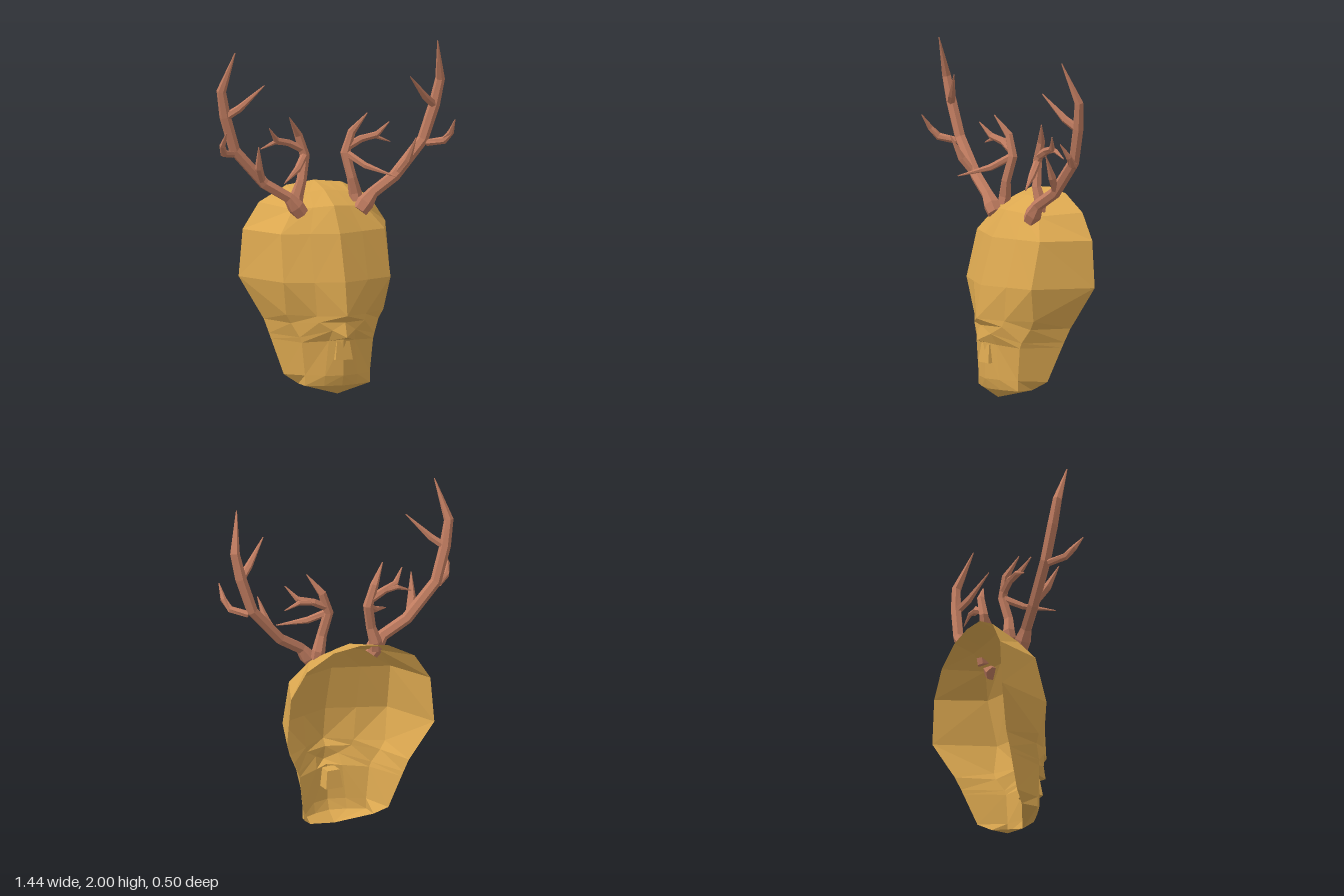
import * as THREE from 'three';

const maskMat = new THREE.MeshStandardMaterial({ color: 0xdca850, flatShading: true, side: THREE.DoubleSide });
const antlerMat = new THREE.MeshStandardMaterial({ color: 0xc07c60, flatShading: true });

// Half of the mask: each row runs from the centre line out to the open rim
const maskRows = [
  [[0, 1.19, -0.25], [0.17, 1.17, -0.25], [0.17, 1.17, -0.25]],
  [[0, 1.155, -0.1], [0.17, 1.13, -0.13], [0.17, 1.17, -0.25]],
  [[0, 1.08, 0.05], [0.22, 1.06, -0.03], [0.34, 1.08, -0.25]],
  [[0, 0.93, 0.14], [0.32, 0.93, 0.03], [0.44, 0.93, -0.25]],
  [[0, 0.66, 0.22], [0.33, 0.66, 0.095], [0.465, 0.66, -0.25]],
  [[0, 0.47, 0.25], [0.15, 0.465, 0.16], [0.3, 0.47, 0.06], [0.365, 0.46, -0.18]], // brow
  [[0, 0.43, 0.22], [0.14, 0.43, 0.17], [0.27, 0.42, 0.06], [0.345, 0.42, -0.165]],
  [[0, 0.345, 0.245], [0.07, 0.385, 0.2], [0.23, 0.34, 0.095], [0.325, 0.34, -0.135]], // nose tip
  [[0, 0.33, 0.195], [0.08, 0.32, 0.165], [0.22, 0.31, 0.1], [0.317, 0.31, -0.125]],
  [[0, 0.12, 0.19], [0.1, 0.12, 0.16], [0.2, 0.12, 0.1], [0.265, 0.11, -0.06]],
  [[0, 0.06, 0.17], [0.1, 0.06, 0.145], [0.2, 0.06, 0.1], [0.2, 0.06, 0]],
  [[0, 0.005, 0.1], [0, 0.005, 0.1], [0, 0.005, 0.1]], // chin point
];

function buildMask() {
  // Rows of three points get a midpoint so that every row has four
  const rows = maskRows.map((r) => (r.length === 4 ? r
    : [r[0], r[0].map((v, i) => (v + r[1][i]) / 2), r[1], r[2]]));
  const pos = [];
  const tri = (...corners) => {
    corners.forEach((p) => pos.push(...p));
    corners.reverse().forEach(([x, y, z]) => pos.push(-x, y, z));
  };
  for (let r = 0; r < rows.length - 1; r++) {
    for (let j = 0; j < 3; j++) {
      const a = rows[r][j], b = rows[r][j + 1], c = rows[r + 1][j], d = rows[r + 1][j + 1];
      if (r === 4) { // brow diagonals run up and outwards
        tri(a, c, b);
        tri(b, c, d);
      } else {
        tri(a, c, d);
        tri(a, d, b);
      }
    }
  }
  const geo = new THREE.BufferGeometry();
  geo.setAttribute('position', new THREE.Float32BufferAttribute(pos, 3));
  geo.computeVertexNormals();
  const mesh = new THREE.Mesh(geo, maskMat);
  mesh.name = 'maskShell';
  return mesh;
}

// Tapered faceted horn through points [x, y, z, radius]; side mirrors it in x
function horn(name, points, side, sides = 6) {
  const pts = points.map(([x, y, z]) => new THREE.Vector3(x * side, y, z));
  const n = pts.length - 1;
  const geo = new THREE.CylinderGeometry(1, 1, 1, sides, n);
  const frames = pts.map((p, i) => {
    const t = pts[Math.min(i + 1, n)].clone().sub(pts[Math.max(i - 1, 0)]).normalize();
    const u = new THREE.Vector3(0, 0, 1).cross(t).normalize();
    return { p, u, w: u.clone().cross(t) };
  });
  const attr = geo.attributes.position;
  for (let i = 0; i < attr.count; i++) {
    const k = Math.round((attr.getY(i) + 0.5) * n);
    const { p, u, w } = frames[k];
    const v = p.clone()
      .addScaledVector(u, attr.getX(i) * points[k][3])
      .addScaledVector(w, attr.getZ(i) * points[k][3]);
    attr.setXYZ(i, v.x, v.y, v.z);
  }
  geo.computeVertexNormals();
  const mesh = new THREE.Mesh(geo, antlerMat);
  mesh.name = name;
  return mesh;
}

const horns = {
  mainBeam: [[0.18, 1.035, 0.0, 0.045], [0.215, 1.08, 0.0, 0.05], [0.26, 1.135, 0.0, 0.034], [0.4, 1.22, -0.02, 0.034],
    [0.58, 1.42, -0.03, 0.033], [0.645, 1.62, -0.015, 0.033], [0.675, 1.77, 0.0, 0.028], [0.625, 2.0, 0.085, 0.003]],
  beamLowerTine: [[0.42, 1.24, -0.01, 0.022], [0.46, 1.32, 0.04, 0.024], [0.485, 1.45, 0.1, 0.003]],
  beamOuterTine: [[0.6, 1.4, -0.02, 0.02], [0.68, 1.42, 0.05, 0.022], [0.705, 1.47, 0.09, 0.018], [0.705, 1.55, 0.15, 0.003]],
  beamUpperTine: [[0.64, 1.62, -0.01, 0.024], [0.575, 1.67, 0.03, 0.022], [0.45, 1.805, 0.1, 0.003]],
  innerBeam: [[0.185, 1.08, -0.06, 0.036], [0.18, 1.13, -0.07, 0.038], [0.155, 1.22, -0.06, 0.029], [0.125, 1.36, -0.085, 0.029],
    [0.165, 1.48, -0.085, 0.024], [0.24, 1.59, -0.035, 0.003]],
  innerForkTine: [[0.13, 1.39, -0.085, 0.024], [0.22, 1.435, -0.085, 0.022], [0.31, 1.46, -0.06, 0.018], [0.37, 1.535, -0.02, 0.003]],
  innerOuterTine: [[0.22, 1.435, -0.085, 0.018], [0.31, 1.445, -0.085, 0.014], [0.4, 1.41, -0.08, 0.003]],
  innerFrontTine: [[0.13, 1.36, -0.08, 0.022], [0.21, 1.295, 0.01, 0.02], [0.345, 1.24, 0.145, 0.003]],
};

export function createModel() {
  const model = new THREE.Group();
  model.name = 'antleredMask';
  model.add(buildMask());

  // Tapered tongue block under the nose
  const geo = new THREE.CylinderGeometry(0.055, 0.075, 0.105, 4, 1);
  geo.rotateY(Math.PI / 4);
  const tongue = new THREE.Mesh(geo, maskMat);
  tongue.name = 'mouthBlock';
  tongue.position.set(0, 0.265, 0.15);
  model.add(tongue);

  // Antlers, mirrored left and right
  for (const side of [1, -1]) {
    const antler = new THREE.Group();
    antler.name = side > 0 ? 'leftAntler' : 'rightAntler';
    for (const [name, points] of Object.entries(horns)) antler.add(horn(name, points, side));
    model.add(antler);
  }
  return model;
}
